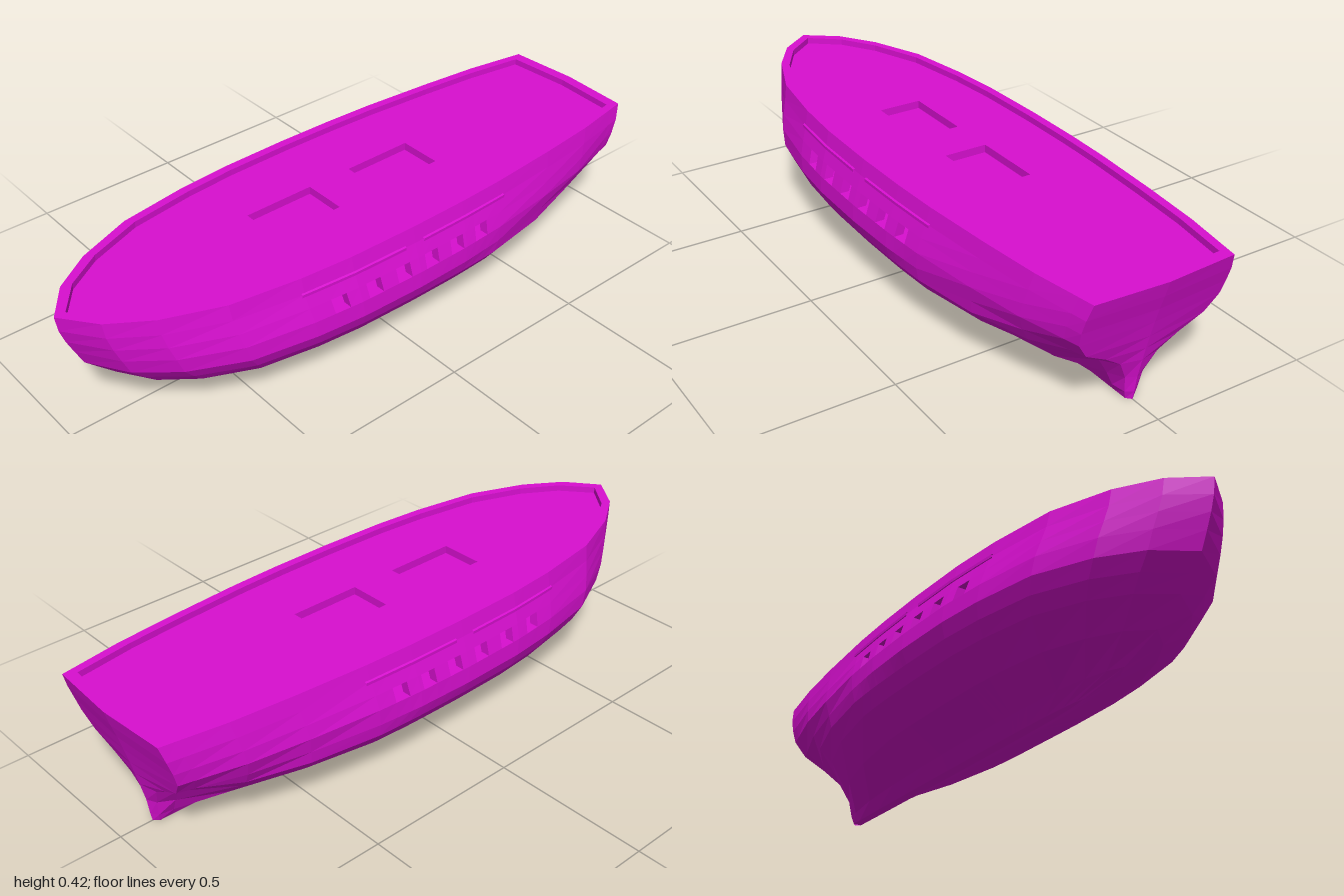
import * as THREE from 'three';

const magenta = new THREE.MeshStandardMaterial({ color: 0xd80fd0, side: THREE.DoubleSide, flatShading: true });
magenta.name = 'magenta';

// Hull levels: height, half breadth amidships, half breadth at transom, bow z, stern z
const LEVELS = [
  [0.42, 0.305, 0.225, 0.992, 1.0],
  [0.37, 0.316, 0.235, 0.985, 0.985],
  [0.325, 0.331, 0.236, 0.97, 0.97],
  [0.28, 0.345, 0.23, 0.95, 0.957],
  [0.228, 0.348, 0.195, 0.925, 0.943],
  [0.185, 0.33, 0.12, 0.88, 0.932],
  [0.143, 0.3, 0.062, 0.835, 0.922],
  [0.08, 0.208, 0.03, 0.74, 0.907],
  [0.027, 0.07, 0.022, 0.6, 0.9],
  [0, 0.018, 0.014, 0.42, 0.895],
];
const PORT_ROW = 2;
const PORTS = [0.29, 0.17, 0.06, -0.05, -0.155, -0.26].map((z) => [z - 0.026, z + 0.026]);

// Plan curves along the length
const BOW = [[0, 1], [0.23, 0.985], [0.4, 0.94], [0.62, 0.83], [0.8, 0.6], [0.92, 0.34], [1, 0]];
const STERN = [[0, 0], [0.2, 0.03], [0.36, 0.11], [0.6, 0.34], [0.8, 0.59], [0.95, 0.9], [1, 1]];
const STATIONS = [
  ...BOW.map((p) => p[0]),
  ...STERN.slice(1).map((p) => -p[0]),
  ...PORTS.flat().map((z) => z / 0.965),
].sort((a, b) => a - b);

function sample(curve, t) {
  let i = 1;
  while (i < curve.length - 1 && t > curve[i][0]) i++;
  const [t0, v0] = curve[i - 1], [t1, v1] = curve[i];
  return v0 + ((v1 - v0) * (t - t0)) / (t1 - t0);
}

// Point on the +x side of the hull at station t (-1 stern, 1 bow)
function hullPoint(t, level, side = 1) {
  const [y, mid, end, bow, stern] = LEVELS[level];
  if (t >= 0) return [side * mid * sample(BOW, t), y, t * bow];
  let s = sample(STERN, -t);
  if (level > 4) s = Math.pow(s, 1.5);
  const x = mid + (end - mid) * s;
  return [side * x, y, t * (stern - 0.014)];
}

function meshFromQuads(name, quads) {
  const pos = [];
  for (const [a, b, c, d] of quads) pos.push(...a, ...b, ...c, ...a, ...c, ...d);
  const g = new THREE.BufferGeometry();
  g.setAttribute('position', new THREE.Float32BufferAttribute(pos, 3));
  g.computeVertexNormals();
  const m = new THREE.Mesh(g, magenta);
  m.name = name;
  return m;
}

// Closed plan outline of one level, with a pointed middle at the stern
function outline(level, sx = 1, sz = 1) {
  const right = STATIONS.map((t) => hullPoint(t, level));
  const left = STATIONS.slice(0, -1).reverse().map((t) => hullPoint(t, level, -1));
  const pts = [...right, ...left, [0, 0, -LEVELS[level][4]]];
  return pts.map(([x, , z]) => new THREE.Vector2(x * sx, -z * sz));
}

function flatMesh(name, shape, y, depth = 0) {
  const g = depth
    ? new THREE.ExtrudeGeometry(shape, { depth, bevelEnabled: false })
    : new THREE.ShapeGeometry(shape);
  const m = new THREE.Mesh(g.rotateX(-Math.PI / 2), magenta);
  m.name = name;
  m.position.y = y;
  return m;
}

export function createModel() {
  const group = new THREE.Group();
  group.name = 'shipHull';
  const last = LEVELS.length - 1;

  // Planking, left open at the ports
  const planks = [], jambs = [];
  for (let i = 0; i < STATIONS.length - 1; i++) {
    const t0 = STATIONS[i], t1 = STATIONS[i + 1];
    if (t1 - t0 < 1e-6) continue;
    const centre = ((t0 + t1) / 2) * 0.965;
    const open = PORTS.some(([a, b]) => centre > a && centre < b);
    for (let k = 0; k < last; k++) {
      for (const side of [1, -1]) {
        const q = [hullPoint(t0, k, side), hullPoint(t1, k, side), hullPoint(t1, k + 1, side), hullPoint(t0, k + 1, side)];
        if (open && k === PORT_ROW) {
          // Port linings reach inward from the opening
          q.forEach((a, n) => {
            const b = q[(n + 1) % 4];
            const inner = ([x, y, z]) => [x - side * 0.03, y, z];
            const lining = [a, inner(a), inner(b), b];
            jambs.push(side > 0 ? lining.reverse() : lining);
          });
        } else {
          planks.push(side > 0 ? q : q.reverse());
        }
      }
    }
    // Keel bottom
    planks.push([hullPoint(t0, last), hullPoint(t1, last), hullPoint(t1, last, -1), hullPoint(t0, last, -1)]);
  }
  group.add(meshFromQuads('hullPlanking', planks), meshFromQuads('portLinings', jambs));

  // Transom, slightly peaked along the centre
  const transom = [];
  for (let k = 0; k < last; k++) {
    const c0 = [0, LEVELS[k][0], -LEVELS[k][4]];
    const c1 = [0, LEVELS[k + 1][0], -LEVELS[k + 1][4]];
    transom.push([c0, hullPoint(-1, k), hullPoint(-1, k + 1), c1]);
    transom.push([hullPoint(-1, k, -1), c0, c1, hullPoint(-1, k + 1, -1)]);
  }
  group.add(meshFromQuads('transom', transom));

  // Rail cap and its inner wall
  const inner = outline(0, 0.91, 0.965);
  const rail = new THREE.Shape(outline(0));
  rail.holes.push(new THREE.Path(inner));
  group.add(flatMesh('railCap', rail, 0.42));
  const wall = inner.map((a, n) => {
    const b = inner[(n + 1) % inner.length];
    return [[a.x, 0.42, -a.y], [b.x, 0.42, -b.y], [b.x, 0.4, -b.y], [a.x, 0.4, -a.y]];
  });
  group.add(meshFromQuads('railInnerWall', wall));

  // Main deck with two hatches
  const deck = new THREE.Shape(inner);
  for (const z of [-0.192, 0.195]) {
    const h = [[-0.07, -0.117], [-0.07, 0.117], [0.07, 0.117], [0.07, -0.117]];
    deck.holes.push(new THREE.Path(h.map(([x, d]) => new THREE.Vector2(x, -z + d))));
  }
  group.add(flatMesh('mainDeck', deck, 0.375, 0.025));

  // Lower deck under the ports
  group.add(flatMesh('lowerDeck', new THREE.Shape(outline(4, 0.97, 0.97)), 0.25));

  // Thin mouldings above the ports, in two lengths per side
  const mouldings = [];
  for (const [from, to] of [[-0.38, -0.03], [0.04, 0.41]]) {
    for (let i = 0; i < 6; i++) {
      const ends = [i, i + 1].map((n) => hullPoint(from + ((to - from) * n) / 6, 1));
      for (const side of [1, -1]) {
        const at = (p, dx, dy) => [side * (p[0] + dx), p[1] + dy, p[2]];
        const rows = [[-0.003, 0.006], [0.005, 0.003], [0.005, -0.006], [-0.001, -0.008]];
        for (let r = 0; r < 3; r++) {
          const q = [at(ends[0], ...rows[r]), at(ends[1], ...rows[r]), at(ends[1], ...rows[r + 1]), at(ends[0], ...rows[r + 1])];
          mouldings.push(side > 0 ? q : q.reverse());
        }
      }
    }
  }
  group.add(meshFromQuads('portMouldings', mouldings));
  return group;
}
